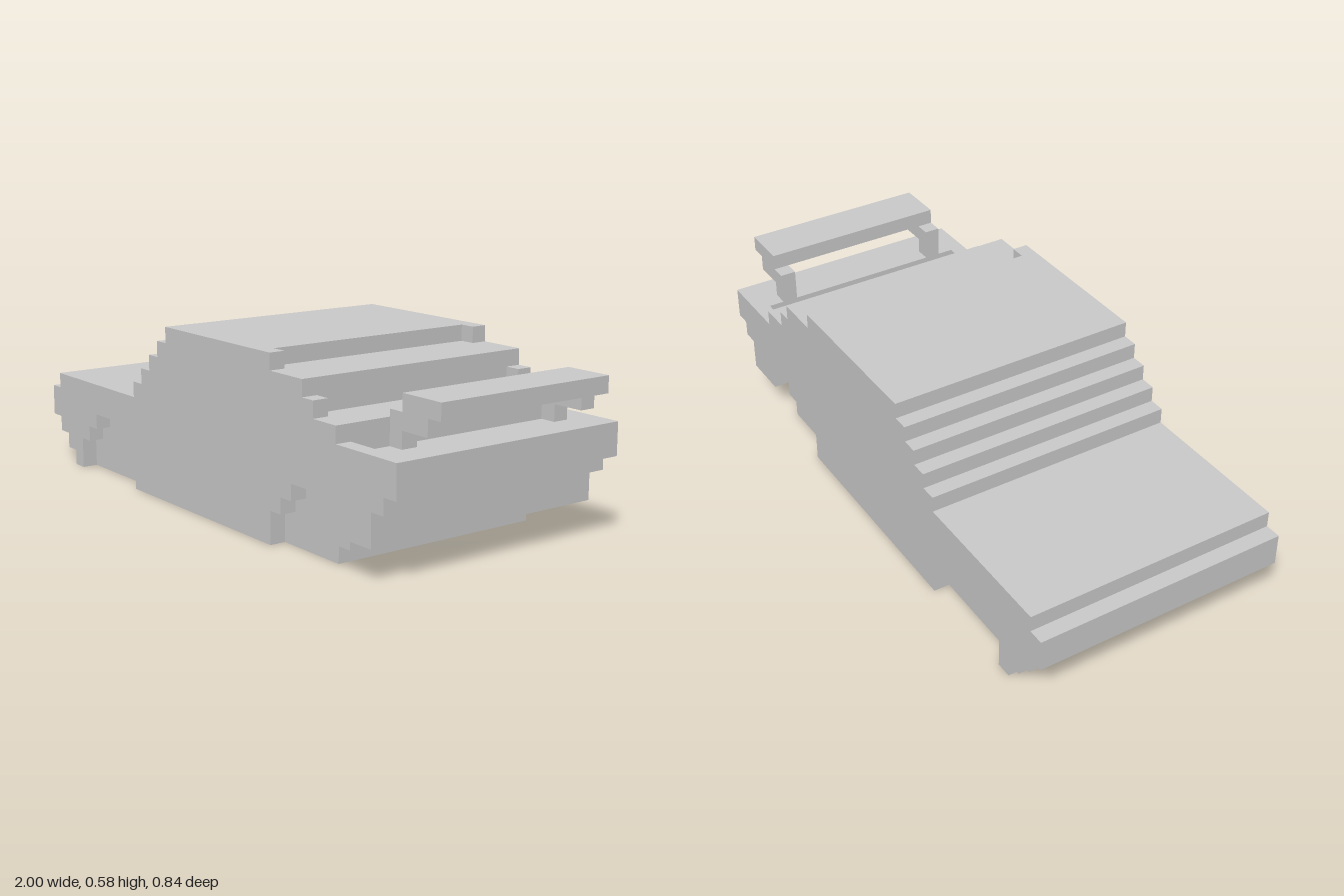
import * as THREE from 'three';

// The car is stepped on a grid of 38 x 11 x 16 cells.
const U = 2 / 38;

export function createModel() {
  const car = new THREE.Group();
  car.name = 'car';
  const material = new THREE.MeshStandardMaterial({ color: 0xcccccc, flatShading: true });

  // Extrudes a stepped outline (grid x, y pairs) between two grid depths.
  function slab(name, points, z0, z1) {
    const shape = new THREE.Shape(points.map(([x, y]) => new THREE.Vector2((x - 19) * U, y * U)));
    const geometry = new THREE.ExtrudeGeometry(shape, { depth: (z1 - z0) * U, bevelEnabled: false });
    geometry.translate(0, 0, z0 * U);
    const mesh = new THREE.Mesh(geometry, material);
    mesh.name = name;
    car.add(mesh);
  }

  // Outline pieces shared by the core and the side panels
  const nose = [[3, 0], [3, 1], [2, 1], [2, 2], [1, 2], [1, 3], [0, 3], [0, 5], [1, 5], [1, 6], [11, 6]];
  const windscreen = [[11, 7], [12, 7], [12, 8], [13, 8], [13, 9], [14, 9], [14, 10], [15, 10], [15, 11]];
  const tail = [[37, 7], [37, 5], [36, 5], [36, 4], [35, 4], [35, 2]];

  // Core: set-in rear window, trunk groove and filled wheel area
  slab('bodyCore', [
    ...nose, ...windscreen,
    [25, 11], [25, 10], [29, 10], [29, 8], [32, 8], [32, 6], [34, 6], [34, 7],
    ...tail,
    [32, 2], [32, 1], [31, 1], [31, 0],
  ], -7, 7);

  // Side panels: roof pillars and stepped wheel arches
  const panel = [
    ...nose, ...windscreen,
    [26, 11], [26, 10], [29, 10], [29, 9], [30, 9], [30, 8], [32, 8], [32, 7],
    ...tail,
    [32, 2], [32, 3], [31, 3], [31, 4], [28, 4], [28, 3], [27, 3], [27, 2], [26, 2], [26, 0],
    [11, 0], [11, 2], [10, 2], [10, 3], [9, 3], [9, 4], [6, 4], [6, 3], [5, 3], [5, 2], [4, 2], [4, 0],
  ];
  slab('frontSidePanel', panel, 7, 8);
  slab('backSidePanel', panel, -8, -7);

  // Rear wing on two brackets
  slab('wing', [[35, 9], [38, 9], [38, 10], [35, 10]], -6, 6);
  const bracket = [[34, 7], [35, 7], [35, 8], [37, 8], [37, 9], [34, 9]];
  slab('frontWingBracket', bracket, 5, 6);
  slab('backWingBracket', bracket, -6, -5);

  return car;
}
